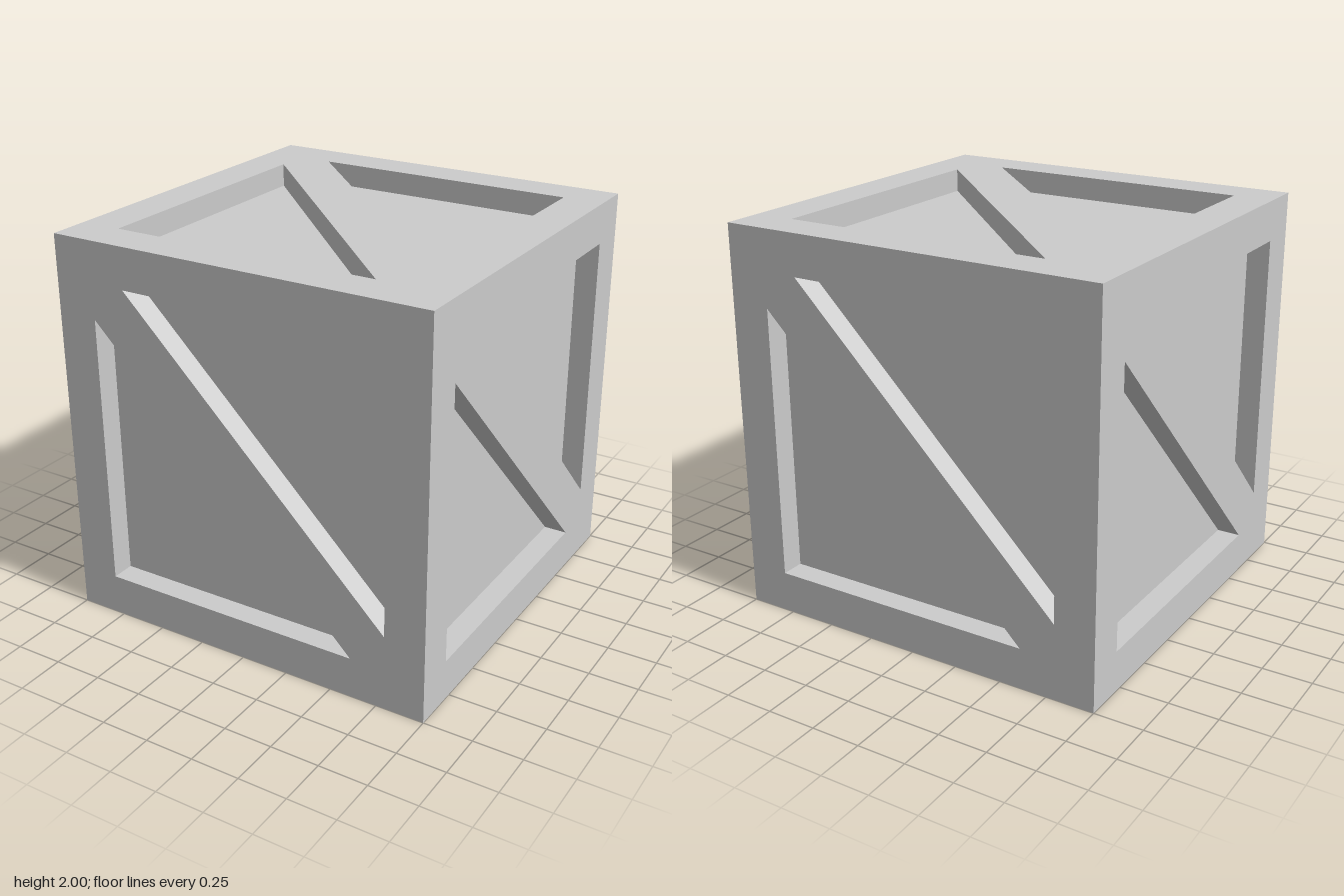
import * as THREE from 'three';

const HALF = 1;       // half the crate's side
const DEPTH = 0.12;   // recess depth
const RIM = 0.79;     // inner edge of the border
const TIP = 0.61;     // where the diagonal brace meets the border

// Square frame with a diagonal brace, left by two triangular openings
function frameGeometry() {
  const shape = new THREE.Shape([
    [-HALF, -HALF], [HALF, -HALF], [HALF, HALF], [-HALF, HALF],
  ].map(([x, y]) => new THREE.Vector2(x, y)));
  for (const s of [1, -1]) {
    shape.holes.push(new THREE.Path([
      new THREE.Vector2(-RIM * s, TIP * s),
      new THREE.Vector2(-RIM * s, -RIM * s),
      new THREE.Vector2(TIP * s, -RIM * s),
    ]));
  }
  const geo = new THREE.ExtrudeGeometry(shape, { depth: DEPTH, bevelEnabled: false });
  geo.translate(0, 0, HALF - DEPTH);

  // Mitre the outer edge so neighbouring frames meet cleanly
  const p = geo.attributes.position;
  const inner = HALF - DEPTH;
  for (let i = 0; i < p.count; i++) {
    if (p.getZ(i) < HALF - DEPTH / 2) {
      p.setX(i, THREE.MathUtils.clamp(p.getX(i), -inner, inner));
      p.setY(i, THREE.MathUtils.clamp(p.getY(i), -inner, inner));
    }
  }
  geo.computeVertexNormals();
  return geo;
}

export function createModel() {
  const crate = new THREE.Group();
  crate.name = 'crate';
  const material = new THREE.MeshStandardMaterial({ color: 0xcccccc, flatShading: true });

  // Inner box forms the recessed panels
  const size = 2 * (HALF - DEPTH);
  const panels = new THREE.Mesh(new THREE.BoxGeometry(size, size, size), material);
  panels.name = 'recessedPanels';
  panels.position.y = HALF;
  crate.add(panels);

  // One braced frame per face
  const geo = frameGeometry();
  const q = Math.PI / 2;
  const faces = [
    ['frontFrame', 0, 0], ['leftFrame', 0, q], ['backFrame', 0, 2 * q],
    ['rightFrame', 0, -q], ['topFrame', -q, 0], ['bottomFrame', q, 0],
  ];
  for (const [name, rx, ry] of faces) {
    const frame = new THREE.Mesh(geo, material);
    frame.name = name;
    frame.rotation.set(rx, ry, 0);
    frame.position.y = HALF;
    crate.add(frame);
  }
  return crate;
}
